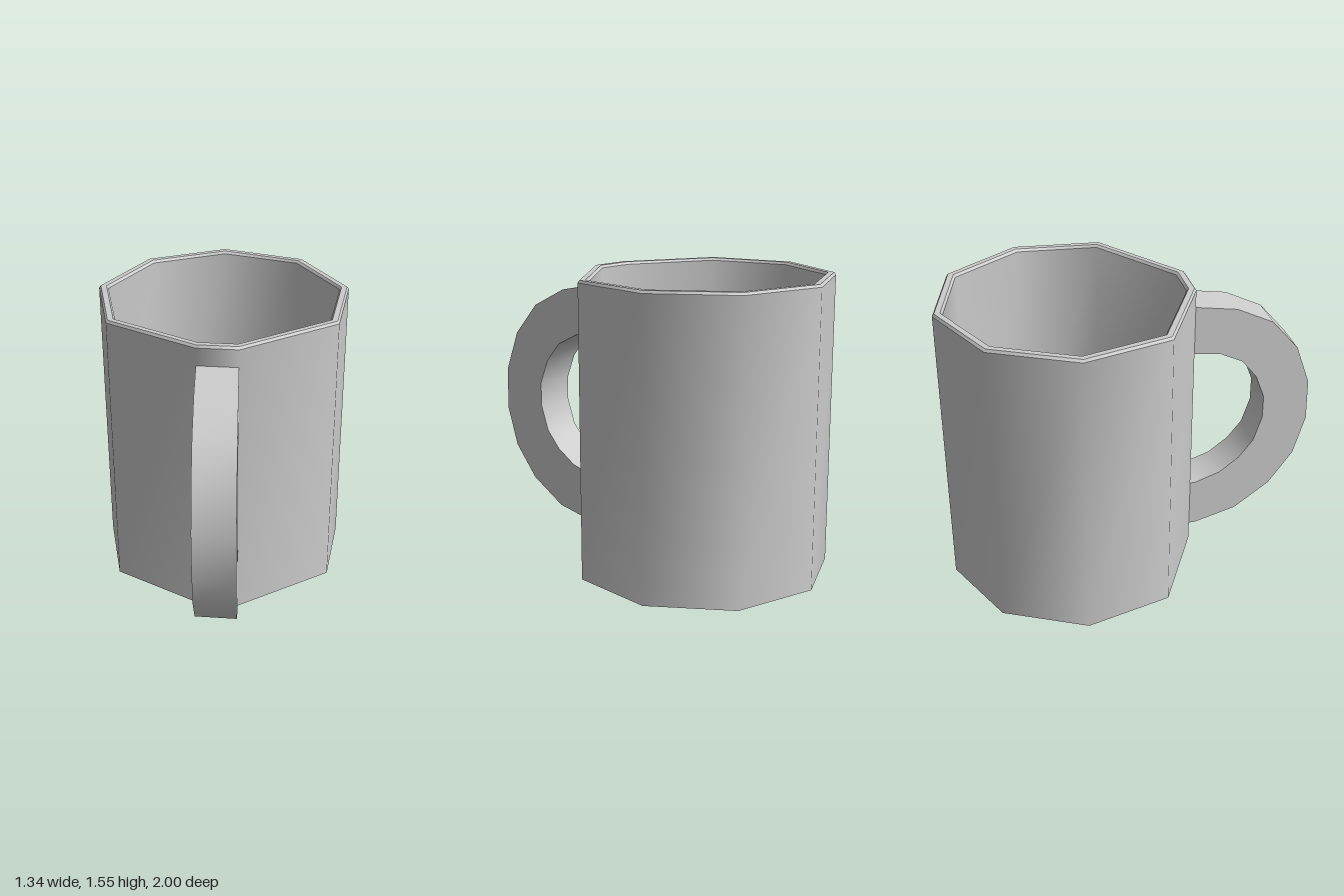
import * as THREE from 'three';
import { mergeGeometries, toCreasedNormals } from 'three/addons/utils/BufferGeometryUtils.js';

const CENTRE_Z = -0.335;

// Nine-sided outline of the cup, as [x, z] corners
const OUTLINE = [
  [0.03, -1.0], [0.46, -0.82], [0.667, -0.4], [0.56, 0.05], [0.04, 0.33],
  [-0.17, 0.3], [-0.615, -0.015], [-0.67, -0.48], [-0.41, -0.865],
];

// One band between two scaled copies of the outline, smooth around the cup
function band([s0, y0], [s1, y1]) {
  const n = OUTLINE.length, positions = [], index = [];
  for (const [s, y] of [[s0, y0], [s1, y1]]) {
    for (const [x, z] of OUTLINE) positions.push(x * s, y, CENTRE_Z + (z - CENTRE_Z) * s);
  }
  for (let i = 0; i < n; i++) {
    const j = (i + 1) % n;
    index.push(i, n + i, j, n + i, n + j, j);
  }
  const g = new THREE.BufferGeometry();
  g.setAttribute('position', new THREE.Float32BufferAttribute(positions, 3));
  g.setIndex(index);
  g.computeVertexNormals();
  return g;
}

// Joins bands along a profile of [scale, height] steps
function cupPart(name, profile, material) {
  const bands = profile.slice(1).map((p, i) => band(profile[i], p));
  const mesh = new THREE.Mesh(mergeGeometries(bands), material);
  mesh.name = name;
  return mesh;
}

function makeHandle(material) {
  // Side outline as [z, y]: outer curve downwards, inner curve back up
  const outer = [
    [0.33, 1.445], [0.56, 1.4], [0.765, 1.295], [0.915, 1.12], [0.995, 0.9], [1.0, 0.67],
    [0.935, 0.455], [0.8, 0.28], [0.6, 0.15], [0.37, 0.1], [0.33, 0.1],
  ];
  const inner = [
    [0.33, 0.37], [0.36, 0.37], [0.5, 0.41], [0.61, 0.485], [0.69, 0.58], [0.737, 0.72],
    [0.737, 0.85], [0.685, 0.985], [0.6, 1.09], [0.475, 1.155], [0.33, 1.18],
  ];
  const shape = new THREE.Shape([...outer, ...inner].map(([z, y]) => new THREE.Vector2(z, y)));
  const g = new THREE.ExtrudeGeometry(shape, { depth: 1, bevelEnabled: false });
  // Turn the outline to face sideways, leaning slightly so it meets the wall squarely
  const lean = -0.068;
  g.applyMatrix4(new THREE.Matrix4().set(
    lean, 0, -0.21, 0.04 - lean * 0.33,
    0, 1, 0, 0,
    1, 0, -0.03, 0,
    0, 0, 0, 1,
  ));
  const mesh = new THREE.Mesh(toCreasedNormals(g, 0.6), material);
  mesh.name = 'handle';
  return mesh;
}

export function createModel() {
  const group = new THREE.Group();
  group.name = 'mug';
  const material = new THREE.MeshStandardMaterial({ color: 0xcccccc });

  group.add(
    cupPart('base', [[0, 0], [1, 0]], material),
    cupPart('outerWall', [[1, 0], [1, 1.54]], material),
    // Flat rim with a small bevel on both edges
    cupPart('rim', [[1, 1.54], [0.985, 1.553], [0.94, 1.553], [0.924, 1.54]], material),
    cupPart('innerWall', [[0.924, 1.54], [0.924, 0.09]], material),
    cupPart('floor', [[0.924, 0.09], [0.89, 0.06], [0, 0.06]], material),
    makeHandle(material),
  );
  return group;
}
